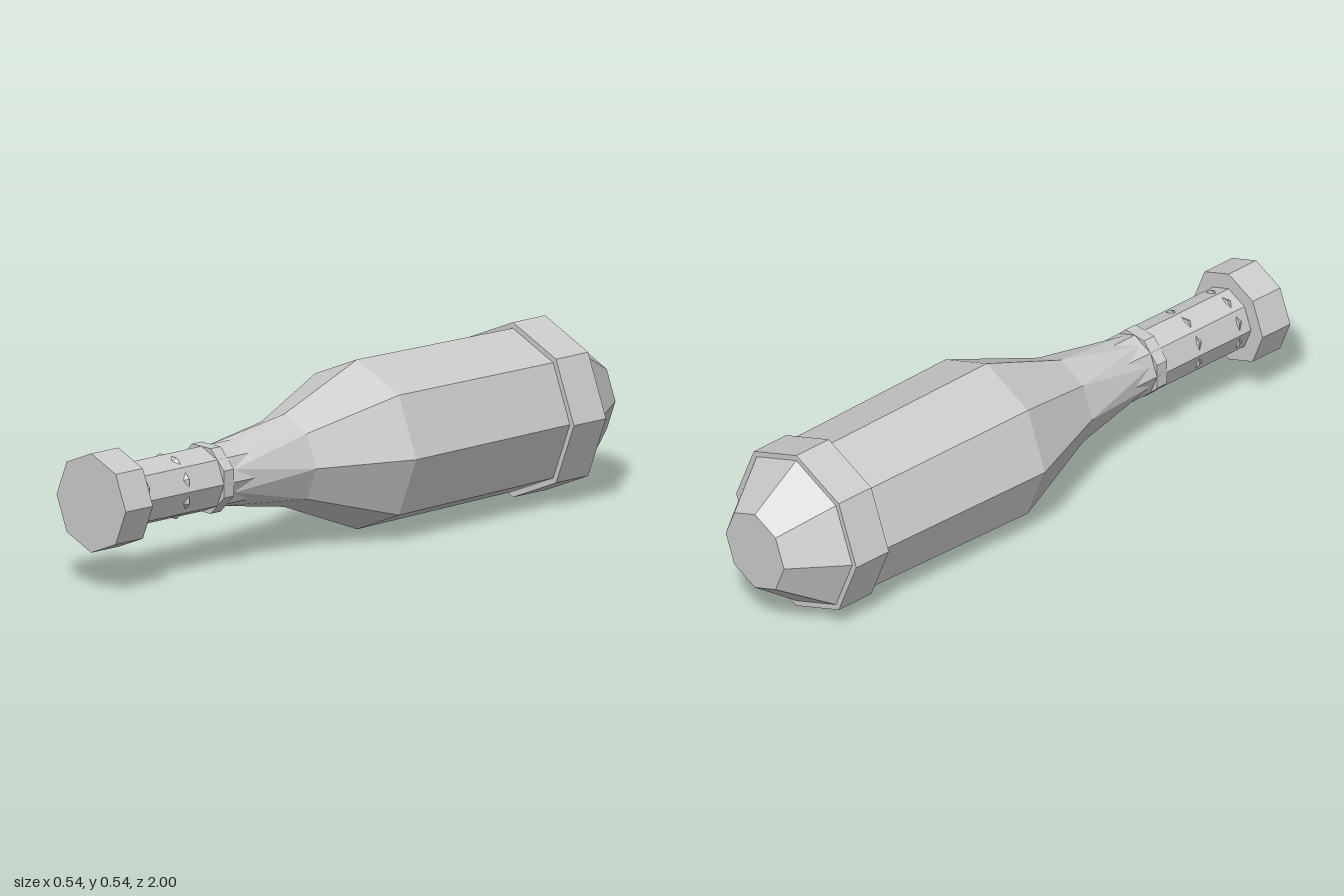
import * as THREE from 'three';

const SIDES = 8;
const HALF = -Math.PI / SIDES; // half-facet twist
const material = new THREE.MeshStandardMaterial({ color: 0xcccccc, flatShading: true });

// Closed octagonal loft along z; rings are [z, radius, twist], ordered from +z to -z.
function loft(name, rings) {
  const pos = [], index = [];
  for (const [z, r, twist = 0] of rings) {
    for (let j = 0; j < SIDES; j++) {
      const a = (j / SIDES) * Math.PI * 2 + twist;
      pos.push(Math.cos(a) * r, Math.sin(a) * r, z);
    }
  }
  const last = (rings.length - 1) * SIDES;
  for (let i = 0; i < last; i += SIDES) {
    for (let j = 0; j < SIDES; j++) {
      const k = (j + 1) % SIDES;
      const a = i + j, b = i + k, c = a + SIDES, d = b + SIDES;
      index.push(a, c, b, b, c, d);
    }
  }
  // end faces
  for (let j = 1; j < SIDES - 1; j++) {
    index.push(0, j, j + 1, last, last + j + 1, last + j);
  }
  const indexed = new THREE.BufferGeometry();
  indexed.setAttribute('position', new THREE.Float32BufferAttribute(pos, 3));
  indexed.setIndex(index);
  const geometry = indexed.toNonIndexed();
  geometry.computeVertexNormals();
  const mesh = new THREE.Mesh(geometry, material);
  mesh.name = name;
  return mesh;
}

export function createModel() {
  const group = new THREE.Group();
  group.name = 'club';

  // body, swelling from the twisted neck to the rear nose
  group.add(loft('body', [
    [0.5, 0.093, HALF], [0.22, 0.142], [-0.075, 0.26], [-0.72, 0.25], [-0.835, 0.25], [-1, 0.13],
  ]));

  // raised band round the thick end
  group.add(loft('band', [[-0.705, 0.268], [-0.835, 0.268]]));

  // handle and its end cap
  group.add(loft('handle', [[0.9, 0.1], [0.42, 0.1]]));
  group.add(loft('endCap', [[1, 0.152], [0.89, 0.152]]));

  // grip collar whose corners show through the handle facets
  group.add(loft('gripCollar', [[0.555, 0.108, HALF], [0.515, 0.108, HALF]]));

  // thin grip ridges
  for (const z of [0.69, 0.85]) {
    group.add(loft('gripRidge', [[z + 0.02, 0.09, HALF], [z, 0.102, HALF], [z - 0.005, 0.09, HALF]]));
  }

  group.position.y = 0.268;
  const model = new THREE.Group();
  model.name = 'model';
  model.add(group);
  return model;
}
